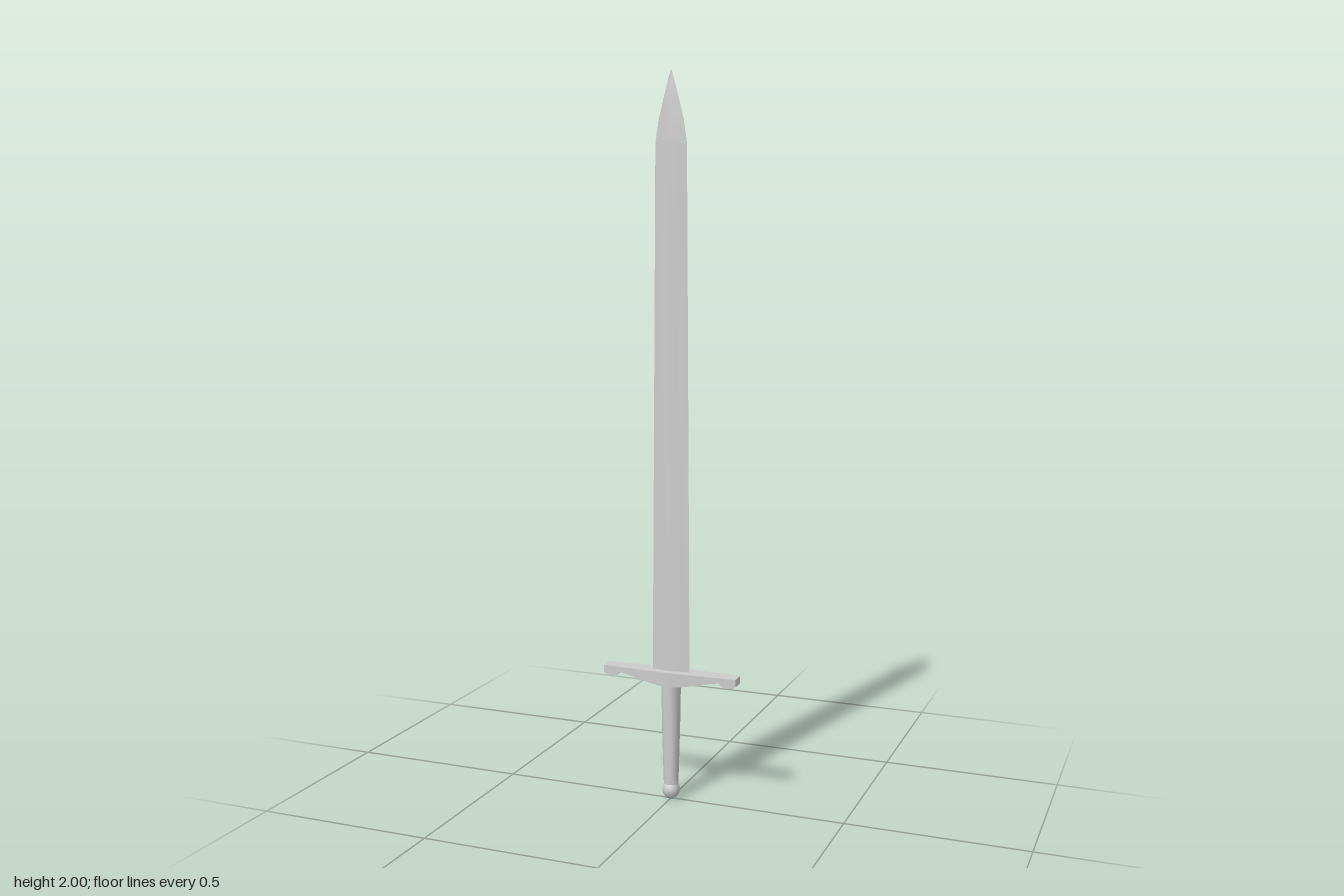
import * as THREE from 'three';
import { toCreasedNormals } from 'three/addons/utils/BufferGeometryUtils.js';

const material = new THREE.MeshStandardMaterial({ color: 0xcccccc });

function addPart(parent, name, geometry) {
  const mesh = new THREE.Mesh(geometry, material);
  mesh.name = name;
  parent.add(mesh);
  return mesh;
}

// Blade: diamond cross-sections [height, half width, half thickness]
function bladeGeometry() {
  const sections = [
    [0.36, 0.055, 0.009],
    [1.81, 0.045, 0.008],
    [1.87, 0.036, 0.007],
    [1.93, 0.021, 0.005],
    [1.985, 0.006, 0.002],
    [2.0, 0.0008, 0.0006],
  ];
  const positions = [];
  const index = [];
  sections.forEach(([y, w, t], row) => {
    positions.push(w, y, 0, 0, y, t, -w, y, 0, 0, y, -t);
    if (row === 0) return;
    for (let i = 0; i < 4; i++) {
      const a = (row - 1) * 4 + i;
      const b = (row - 1) * 4 + ((i + 1) % 4);
      index.push(a, b + 4, b, a, a + 4, b + 4);
    }
  });
  // Close both ends
  const last = (sections.length - 1) * 4;
  index.push(0, 1, 2, 0, 2, 3, last, last + 2, last + 1, last, last + 3, last + 2);
  const geometry = new THREE.BufferGeometry();
  geometry.setAttribute('position', new THREE.Float32BufferAttribute(positions, 3));
  geometry.setIndex(index);
  return toCreasedNormals(geometry, 0.6);
}

// Half of the crossguard, thinning in depth towards its outer end
function guardArmGeometry() {
  const reach = 0.196;
  const shape = new THREE.Shape(
    [
      [0, 0.331], [0.025, 0.332], [0.06, 0.338], [0.11, 0.35], [0.148, 0.356],
      [0.157, 0.347], [0.167, 0.344], [0.186, 0.344], [reach, 0.35], [reach, 0.371], [0, 0.371],
    ].map(([x, y]) => new THREE.Vector2(x, y))
  );
  const geometry = new THREE.ExtrudeGeometry(shape, { depth: 0.06, bevelEnabled: false });
  geometry.translate(0, 0, -0.03);
  const p = geometry.attributes.position;
  for (let i = 0; i < p.count; i++) {
    p.setZ(i, p.getZ(i) * (1 - 0.33 * (p.getX(i) / reach)));
  }
  return toCreasedNormals(geometry, 0.5);
}

function lathe(profile) {
  const points = profile.map(([r, y]) => new THREE.Vector2(r, y));
  return toCreasedNormals(new THREE.LatheGeometry(points, 16), 0.6);
}

export function createModel() {
  const sword = new THREE.Group();
  sword.name = 'sword';

  addPart(sword, 'blade', bladeGeometry());

  // Crossguard: the same arm turned to each side
  const guard = new THREE.Group();
  guard.name = 'crossguard';
  const arm = guardArmGeometry();
  addPart(guard, 'leftArm', arm);
  addPart(guard, 'rightArm', arm).rotation.y = Math.PI;
  sword.add(guard);

  // Grip tapers towards the pommel
  addPart(sword, 'grip', lathe([[0.0205, 0.045], [0.022, 0.09], [0.0255, 0.22], [0.0275, 0.34]]));

  // Rounded pommel with a small flat base
  addPart(sword, 'pommel', lathe([
    [0, 0], [0.009, 0.001], [0.017, 0.007], [0.023, 0.016], [0.025, 0.027],
    [0.023, 0.038], [0.018, 0.046], [0.017, 0.049], [0.021, 0.052], [0, 0.055],
  ]));

  return sword;
}
